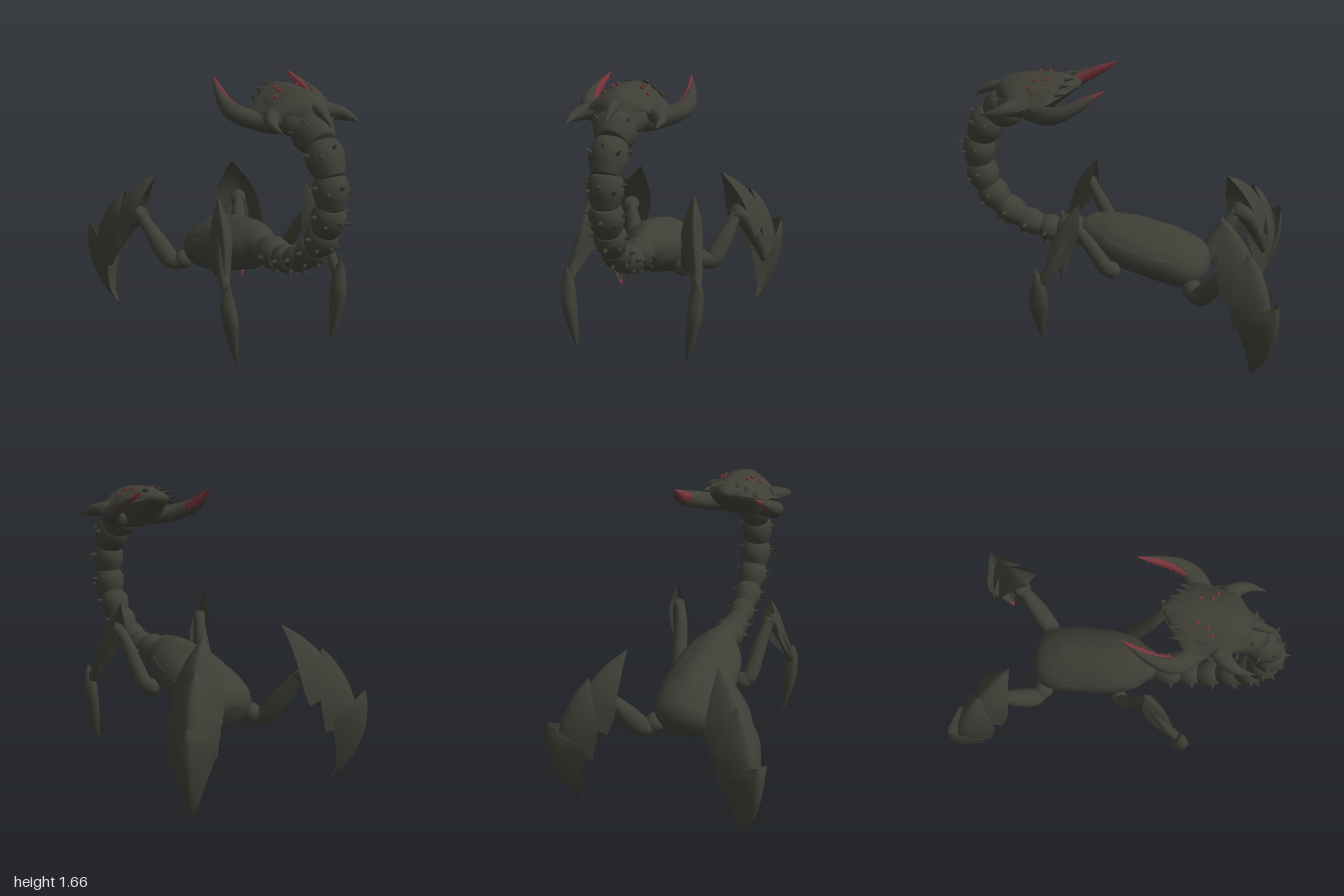
import * as THREE from 'three';

const shell = new THREE.MeshStandardMaterial({ color: 0x3f3e36, side: THREE.DoubleSide });
shell.name = 'dark shell';
const red = new THREE.MeshStandardMaterial({ color: 0x74343a, side: THREE.DoubleSide });
red.name = 'dull red';

const V = (x, y, z) => new THREE.Vector3(x, y, z);
const X = V(1, 0, 0), Y = V(0, 1, 0);

// Smooth curves through rows of [x, y, z, a, b]
function rowCurves(rows) {
  const curve = (pts) => new THREE.CatmullRomCurve3(pts, false, 'catmullrom', 0.5);
  return [curve(rows.map((r) => V(r[0], r[1], r[2]))), curve(rows.map((r) => V(r[3], r[4] ?? r[3], 0)))];
}

function makeMesh(name, pos, index, mat) {
  const g = new THREE.BufferGeometry();
  g.setAttribute('position', new THREE.Float32BufferAttribute(pos, 3));
  g.setIndex(index);
  g.computeVertexNormals();
  const m = new THREE.Mesh(g, mat);
  m.name = name;
  return m;
}

// Closed tapered limb: rows are [x, y, z, half width, half height]
function sweep(name, rows, { ref = Y, mat = shell, sides = 14, steps = 4 } = {}) {
  const [path, size] = rowCurves(rows);
  const n = (rows.length - 1) * steps, pos = [], index = [];
  for (let i = 0; i <= n; i++) {
    const t = i / n, c = path.getPoint(t), T = path.getTangent(t), s = size.getPoint(t);
    const S = V().crossVectors(ref, T).normalize(), U = V().crossVectors(T, S);
    for (let j = 0; j < sides; j++) {
      const a = (j / sides) * Math.PI * 2;
      const p = c.clone().addScaledVector(S, Math.cos(a) * Math.max(s.x, 0.001))
        .addScaledVector(U, Math.sin(a) * Math.max(s.y, 0.001));
      pos.push(p.x, p.y, p.z);
      const k = (j + 1) % sides, A = i * sides;
      if (i < n) index.push(A + j, A + k, A + sides + j, A + k, A + sides + k, A + sides + j);
    }
  }
  const c0 = (n + 1) * sides, end = n * sides;
  pos.push(...path.getPoint(0).toArray(), ...path.getPoint(1).toArray());
  for (let j = 0; j < sides; j++) {
    const k = (j + 1) % sides;
    index.push(c0, k, j, c0 + 1, end + j, end + k);
  }
  return makeMesh(name, pos, index, mat);
}

// Open curved armour plate: rows are [x, y, z, half width, depth of the edges]
function plate(name, rows, across, out, { mat = shell, power = 1.4 } = {}) {
  const [path, size] = rowCurves(rows);
  const n = (rows.length - 1) * 4, cols = 10, pos = [], index = [];
  for (let i = 0; i <= n; i++) {
    const t = i / n, c = path.getPoint(t), s = size.getPoint(t);
    const N = V().crossVectors(across, path.getTangent(t)).normalize();
    if (N.dot(out) < 0) N.negate();
    for (let j = 0; j <= cols; j++) {
      const u = (j / cols) * 2 - 1;
      const p = c.clone().addScaledVector(across, u * Math.max(s.x, 0.001))
        .addScaledVector(N, -Math.max(s.y, 0) * Math.abs(u) ** power);
      pos.push(p.x, p.y, p.z);
      const A = i * (cols + 1) + j, B = A + cols + 1;
      if (i < n && j < cols) index.push(A, A + 1, B, A + 1, B + 1, B);
    }
  }
  return makeMesh(name, pos, index, mat);
}

function spike(name, at, dir, len, r, mat = shell) {
  const m = new THREE.Mesh(new THREE.ConeGeometry(r, len, 6), mat);
  const d = dir.clone().normalize();
  m.quaternion.setFromUnitVectors(Y, d);
  m.position.copy(at).addScaledVector(d, len / 2);
  m.name = name;
  return m;
}

function ball(name, x, y, z, r, mat = shell) {
  const m = new THREE.Mesh(new THREE.SphereGeometry(r, 12, 8), mat);
  m.position.set(x, y, z);
  m.name = name;
  return m;
}

function makeBody() {
  const g = new THREE.Group();
  g.name = 'body';
  g.add(sweep('abdomen', [[0, .62, .24, .07, .08], [0, .62, .17, .11, .11], [0, .595, .08, .17, .145],
    [0, .56, -.08, .205, .165], [0, .51, -.25, .213, .165], [0, .46, -.4, .208, .16],
    [0, .42, -.49, .17, .13], [0, .4, -.535, .08, .07]], { sides: 24 }));
  // overlapping back plates
  [[[.745, .17, .1], [.755, .06, .16], [.742, -.06, .19], [.728, -.15, .2]],
    [[.728, -.11, .19], [.712, -.2, .2], [.69, -.3, .205], [.668, -.38, .2]],
    [[.662, -.34, .19], [.63, -.42, .19], [.58, -.49, .155], [.5, -.54, .09]]].forEach((rows) => g.add(
    plate('backPlate', rows.map(([y, z, w]) => [0, y, z, w, w * .65]), X, Y, { power: 1.8 })));
  return g;
}

// Chain of spiny beads curving up to the head
function makeNeck() {
  const g = new THREE.Group();
  g.name = 'neck';
  const joints = [[.23, .63], [.38, .615], [.5, .635], [.63, .69], [.75, .78], [.835, .9],
    [.88, 1.05], [.868, 1.22], [.775, 1.38], [.64, 1.46]];
  const radius = [.1, .085, .082, .088, .094, .098, .1, .108, .122];
  radius.forEach((r, i) => {
    const a = V(0, joints[i][1], joints[i][0]), b = V(0, joints[i + 1][1], joints[i + 1][0]);
    const T = b.clone().sub(a).normalize(), out = V().crossVectors(X, T).normalize();
    if (out.dot(V(0, -.5, 1)) < 0) out.negate();
    const row = (t, k) => [...a.clone().lerp(b, t).toArray(), r * k];
    g.add(sweep('neckBead', [row(-.08, .7), row(.2, .88), row(.5, 1), row(.8, .95), row(1.05, .74)], { ref: X }));
    for (let k = 0; k < 5; k++) {
      const ang = (k - 2) * .78;
      const d = out.clone().multiplyScalar(Math.cos(ang)).addScaledVector(X, Math.sin(ang));
      const at = a.clone().lerp(b, k % 2 ? .5 : .68).addScaledVector(d, r * .86);
      g.add(spike('neckSpine', at, d.addScaledVector(T, .3), .048, .018));
    }
  });
  return g;
}

function makeHead() {
  const g = new THREE.Group();
  g.name = 'head';
  g.add(sweep('skull', [[0, 1.43, .74, .1, .06], [0, 1.475, .63, .16, .1], [0, 1.515, .5, .18, .125],
    [0, 1.555, .4, .16, .085], [0, 1.59, .3, .1, .05], [0, 1.6, .24, .03, .02]], { sides: 18 }));
  g.add(plate('headShield', [[0, 1.55, .75, .09, .05], [0, 1.605, .7, .18, .11], [0, 1.64, .61, .24, .15],
    [0, 1.655, .5, .21, .14], [0, 1.655, .38, .205, .12], [0, 1.635, .28, .11, .06], [0, 1.615, .23, .03, .02]], X, Y, { power: 1.7 }));
  g.add(sweep('browProng', [[0, 1.575, .66, .03], [0, 1.555, .76, .028, .03], [0, 1.525, .82, .018, .018], [0, 1.49, .87, .002]]));
  for (const s of [1, -1]) {
    g.add(sweep('cheekSpike', [[s * .16, 1.51, .56, .06, .05], [s * .222, 1.5, .63, .042, .04],
      [s * .25, 1.485, .695, .025], [s * .25, 1.465, .785, .002]]));
    [[.075, 1.64, .43], [.125, 1.605, .52], [.085, 1.634, .49]].forEach(([x, y, z]) =>
      g.add(ball('eye', s * x, y, z, .011, red)));
    [[.05, 1.635, .32], [.1, 1.61, .34], [.15, 1.575, .36]].forEach(([x, y, z]) =>
      g.add(spike('crestSpine', V(s * x, y, z), V(s * .2, .2, -1), .065, .018)));
    // pincer with a red toothed inner edge
    g.add(sweep('pincer', [[s * .1, 1.45, .52, .06, .06], [s * .19, 1.465, .44, .06, .055], [s * .262, 1.49, .37, .06, .052],
      [s * .296, 1.525, .29, .042, .045], [s * .288, 1.575, .19, .026, .03], [s * .268, 1.622, .11, .01, .013]]));
    const edge = [[s * .25, 1.52, .325, .012, .02], [s * .268, 1.545, .25, .017, .03],
      [s * .268, 1.588, .17, .02, .026], [s * .26, 1.622, .11, .015, .016], [s * .247, 1.657, .05, .002]];
    g.add(sweep('pincerEdge', edge, { mat: red }));
    const path = rowCurves(edge)[0];
    for (let i = 0; i < 7; i++)
      g.add(spike('pincerTooth', path.getPoint(.05 + i * .11), V(-s, .1, -.3), .03, .01, red));
  }
  return g;
}

function makeFrontLeg(s) {
  const g = new THREE.Group();
  g.name = s > 0 ? 'leftFrontLeg' : 'rightFrontLeg';
  const across = V(s * .94, 0, -.35), out = V(s * .35, .3, .94);
  g.add(ball('frontHip', s * .2, .47, .03, .055));
  g.add(sweep('frontThigh', [[s * .18, .47, .02, .04], [s * .235, .5, .05, .048], [s * .255, .6, .11, .045],
    [s * .275, .72, .18, .04], [s * .305, .82, .24, .03]], { ref: X }));
  g.add(sweep('frontShin', [[s * .305, .83, .23, .035], [s * .34, .72, .29, .035], [s * .375, .58, .36, .03],
    [s * .385, .46, .43, .03]], { ref: X }));
  g.add(plate('frontShinPlate', [[s * .308, .975, .2, .003, 0], [s * .33, .88, .275, .05, .08], [s * .347, .77, .34, .064, .12],
    [s * .37, .63, .385, .048, .09], [s * .39, .5, .42, .025, .03]], across, out));
  g.add(sweep('frontBlade', [[s * .395, .54, .46, .008], [s * .395, .46, .445, .035, .038], [s * .385, .33, .452, .06, .045],
    [s * .37, .22, .452, .048, .036], [s * .35, .1, .45, .024, .018], [s * .336, .025, .45, .002]], { ref: X, sides: 8 }));
  return g;
}

function makeRearLeg(s) {
  const g = new THREE.Group();
  g.name = s > 0 ? 'leftRearLeg' : 'rightRearLeg';
  const across = V(s * .707, 0, .707), out = V(s * .707, .5, -.707);
  g.add(ball('rearHip', s * .19, .37, -.47, .062));
  g.add(sweep('rearThigh', [[s * .18, .36, -.46, .045], [s * .25, .36, -.52, .06], [s * .3, .46, -.59, .06],
    [s * .345, .57, -.66, .045], [s * .37, .63, -.7, .035]], { ref: X }));
  g.add(sweep('rearShin', [[s * .36, .66, -.69, .05], [s * .42, .57, -.77, .05], [s * .49, .42, -.84, .045], [s * .53, .27, -.89, .02]], { ref: X }));
  // rows of [reach, height, half width, depth] along the outward diagonal
  const armour = (name, rows, mat) => g.add(plate(name, rows.map(([r, y, w, d]) =>
    [s * (.707 * r - .177), y, -.707 * r - .177, w, d]), across, out, { mat }));
  armour('upperArmour', [[.64, .93, .004, 0], [.75, .87, .08, .07], [.85, .79, .13, .13], [.93, .69, .145, .17], [.99, .57, .14, .18]]);
  armour('middleArmour', [[.88, .8, .01, .01], [.96, .72, .1, .1], [1.03, .61, .14, .16], [1.075, .49, .14, .18], [1.09, .36, .13, .17]]);
  armour('lowerArmour', [[1.135, .56, .025, .02], [1.148, .47, .125, .15], [1.14, .34, .13, .18], [1.095, .2, .095, .13],
    [1.02, .08, .048, .05], [.968, .028, .017, .01]]);
  armour('rearClawTip', [[.968, .028, .017, .01], [.945, .002, .002, 0]], red);
  return g;
}

export function createModel() {
  const model = new THREE.Group();
  model.name = 'armouredCreature';
  model.add(makeBody(), makeNeck(), makeHead());
  for (const s of [1, -1]) model.add(makeFrontLeg(s), makeRearLeg(s));
  return model;
}
